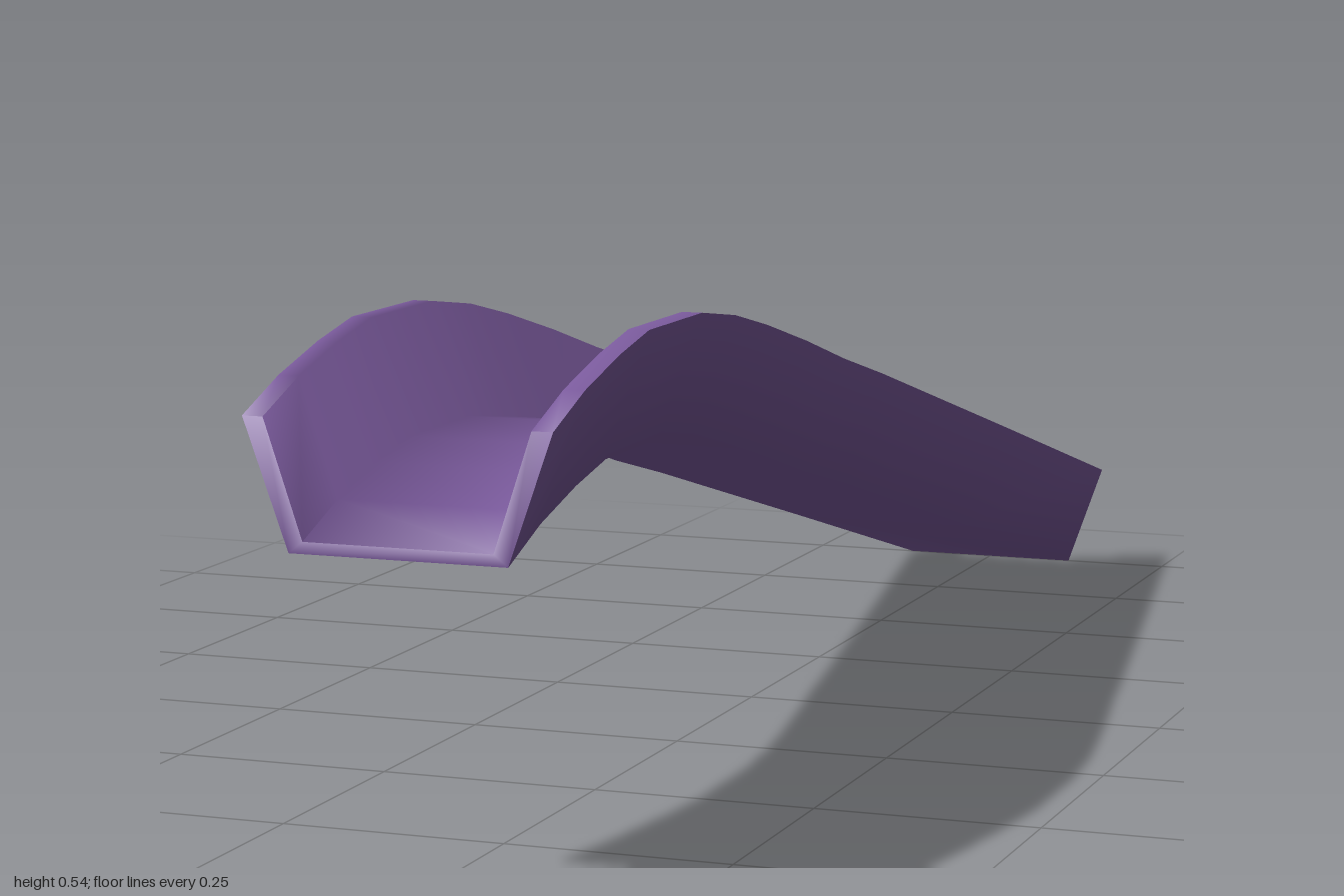
import * as THREE from 'three';
import { toCreasedNormals } from 'three/addons/utils/BufferGeometryUtils.js';

// Trough cross-section, counter-clockwise seen from +z: [x, height above underside]
const section = [
  [-0.115, 0], [0.115, 0], [0.162, 0.132], [0.14, 0.132],
  [0.1, 0.012], [-0.1, 0.012], [-0.14, 0.132], [-0.162, 0.132],
];

// Underside path from the front end to the back end: [z, y]
const path = [
  [1, 0.338], [0.92, 0.367], [0.83, 0.39], [0.75, 0.405], [0.6, 0.405], [0.5, 0.391],
  [0.4, 0.369], [0.27, 0.336], [0.14, 0.3], [0, 0.265], [-0.5, 0.133], [-1, 0],
];

// Loft the section along the path and close both ends
function loftTrough() {
  const positions = [];
  const index = [];
  const n = section.length;
  for (const [z, base] of path) {
    for (const [x, h] of section) positions.push(x, base + h, z);
  }
  const quad = (a, b, c, d) => index.push(a, b, c, a, c, d);
  for (let i = 0; i < path.length - 1; i++) {
    for (let j = 0; j < n; j++) {
      const k = (j + 1) % n;
      quad(i * n + j, (i + 1) * n + j, (i + 1) * n + k, i * n + k);
    }
  }
  // End faces: floor, one wall, other wall
  const last = (path.length - 1) * n;
  for (const [a, b, c, d] of [[0, 1, 4, 5], [1, 2, 3, 4], [0, 5, 6, 7]]) {
    quad(a, b, c, d);
    quad(last + d, last + c, last + b, last + a);
  }
  const geometry = new THREE.BufferGeometry();
  geometry.setAttribute('position', new THREE.Float32BufferAttribute(positions, 3));
  geometry.setIndex(index);
  return toCreasedNormals(geometry, 1.3);
}

export function createModel() {
  const group = new THREE.Group();
  group.name = 'slide';
  const trough = new THREE.Mesh(loftTrough(), new THREE.MeshStandardMaterial({ color: 0x7a5a9c }));
  trough.name = 'slideTrough';
  group.add(trough);
  return group;
}
